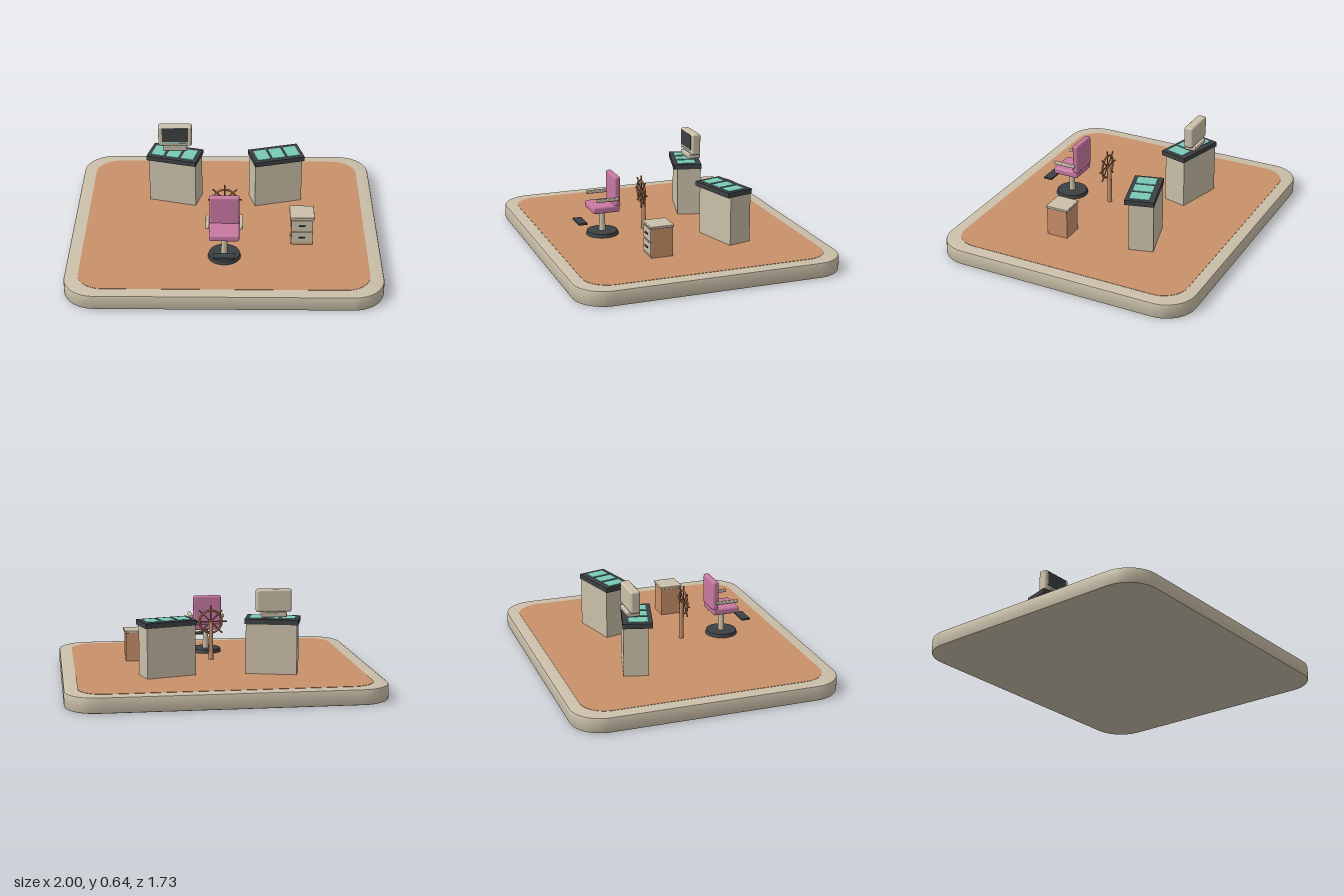
import * as THREE from 'three';
import { RoundedBoxGeometry } from 'three/addons/geometries/RoundedBoxGeometry.js';
import { toCreasedNormals } from 'three/addons/utils/BufferGeometryUtils.js';

const material = (name, color) => {
  const m = new THREE.MeshStandardMaterial({ color });
  m.name = name;
  return m;
};

// Rounded rectangle slab lying flat, from y = 0 to y = height
function slab(w, d, r, height, bevel) {
  const x = w / 2 - bevel, y = d / 2 - bevel, k = r - bevel;
  const s = new THREE.Shape();
  s.absarc(x - k, y - k, k, 0, Math.PI / 2);
  s.absarc(-x + k, y - k, k, Math.PI / 2, Math.PI);
  s.absarc(-x + k, -y + k, k, Math.PI, Math.PI * 1.5);
  s.absarc(x - k, -y + k, k, Math.PI * 1.5, Math.PI * 2);
  const g = new THREE.ExtrudeGeometry(s, {
    depth: height - 2 * bevel, bevelEnabled: bevel > 0, bevelSize: bevel,
    bevelThickness: bevel, bevelSegments: 2, curveSegments: 8,
  });
  g.translate(0, 0, bevel);
  g.rotateX(-Math.PI / 2);
  return toCreasedNormals(g, 0.5);
}

export function createModel() {
  const cream = material('cream', 0xcabfa9);
  const floorTan = material('terracotta', 0xc9916a);
  const dark = material('charcoal', 0x3d4042);
  const pink = material('pink', 0xc878a2);
  const teal = material('teal', 0x79c9b6);
  const wood = material('wood', 0x9a6540);

  const root = new THREE.Group();
  root.name = 'controlRoom';

  const group = (name, x = 0, y = 0, z = 0) => {
    const g = new THREE.Group();
    g.name = name;
    g.position.set(x, y, z);
    root.add(g);
    return g;
  };
  const add = (parent, name, geo, mat, x = 0, y = 0, z = 0) => {
    const m = new THREE.Mesh(geo, mat);
    m.name = name;
    m.position.set(x, y, z);
    parent.add(m);
    return m;
  };
  const box = (w, h, d) => new THREE.BoxGeometry(w, h, d);
  const soft = (w, h, d, r) => new RoundedBoxGeometry(w, h, d, 2, r);
  const cyl = (rt, rb, h, n = 16) => new THREE.CylinderGeometry(rt, rb, h, n);

  // Platform and floor
  add(root, 'platform', slab(2, 1.725, 0.2, 0.1, 0.01), cream);
  add(root, 'floor', slab(1.83, 1.57, 0.16, 0.004, 0), floorTan, 0, 0.098, 0);

  // Two consoles, turned towards the chair
  for (const side of [-1, 1]) {
    const c = group(side < 0 ? 'rightConsole' : 'leftConsole', side * 0.34, 0, -0.29);
    c.rotation.y = side * Math.PI / 12;
    add(c, 'consoleBody', box(0.325, 0.322, 0.157), cream, 0, 0.261, -0.012);
    add(c, 'consoleTop', box(0.342, 0.032, 0.187), dark, 0, 0.437, 0);
    for (let i = -1; i <= 1; i++)
      add(c, 'consoleScreen', box(0.086, 0.006, 0.125), teal, i * 0.103, 0.454, 0.004);
  }

  // Monitor on the right console
  const mon = group('monitor', -0.338, 0, -0.33);
  add(mon, 'monitorFoot', soft(0.16, 0.03, 0.08, 0.006), cream, 0, 0.481, 0);
  add(mon, 'monitorCase', soft(0.225, 0.145, 0.062, 0.014), cream, 0, 0.57, 0);
  add(mon, 'monitorScreen', box(0.175, 0.1, 0.006), dark, 0, 0.582, 0.03);
  add(mon, 'monitorLight', box(0.15, 0.006, 0.005), teal, 0, 0.519, 0.031);

  // Swivel chair
  const chair = group('chair', 0, 0, 0.417);
  add(chair, 'chairBase', cyl(0.1, 0.106, 0.026, 20), dark, 0, 0.113, 0);
  add(chair, 'chairColumn', cyl(0.017, 0.021, 0.14), cream, 0, 0.195, 0);
  add(chair, 'chairCollar', cyl(0.05, 0.025, 0.014), cream, 0, 0.26, 0);
  add(chair, 'seat', soft(0.19, 0.046, 0.18, 0.013), pink, 0, 0.288, -0.002);
  add(chair, 'backrest', soft(0.19, 0.2, 0.04, 0.013), pink, 0, 0.401, -0.077);
  add(chair, 'footrest', box(0.136, 0.012, 0.058), dark, 0, 0.2, 0.15);
  for (const s of [-1, 1])
    add(chair, 'armrest', soft(0.024, 0.02, 0.152, 0.006), cream, s * 0.106, 0.357, -0.004);

  // Steering wheel on a post
  add(root, 'wheelPost', cyl(0.013, 0.016, 0.255, 12), floorTan, 0, 0.2275, 0.132);
  const wheel = group('steeringWheel', 0, 0.355, 0.147);
  add(wheel, 'wheelRim', new THREE.TorusGeometry(0.075, 0.007, 8, 32), wood);
  const hub = add(wheel, 'wheelHub', cyl(0.016, 0.016, 0.022, 12), wood);
  hub.rotation.x = Math.PI / 2;
  for (let i = 0; i < 8; i++) {
    const a = i * Math.PI / 4;
    const spoke = add(wheel, 'wheelSpoke', cyl(0.005, 0.004, 0.11, 8), wood,
      -Math.sin(a) * 0.055, Math.cos(a) * 0.055, 0);
    spoke.rotation.z = a;
  }

  // Drawer cabinet
  const cab = group('cabinet', 0.498, 0, 0.211);
  add(cab, 'cabinetBody', box(0.14, 0.192, 0.14), floorTan, 0, 0.196, 0);
  add(cab, 'cabinetTop', soft(0.158, 0.016, 0.152, 0.004), cream, 0, 0.299, 0);
  for (const y of [0.157, 0.245]) {
    add(cab, 'drawerFront', box(0.13, 0.078, 0.006), cream, 0, y, 0.072);
    add(cab, 'drawerHandle', box(0.04, 0.009, 0.008), dark, 0, y + 0.002, 0.079);
  }

  return root;
}
